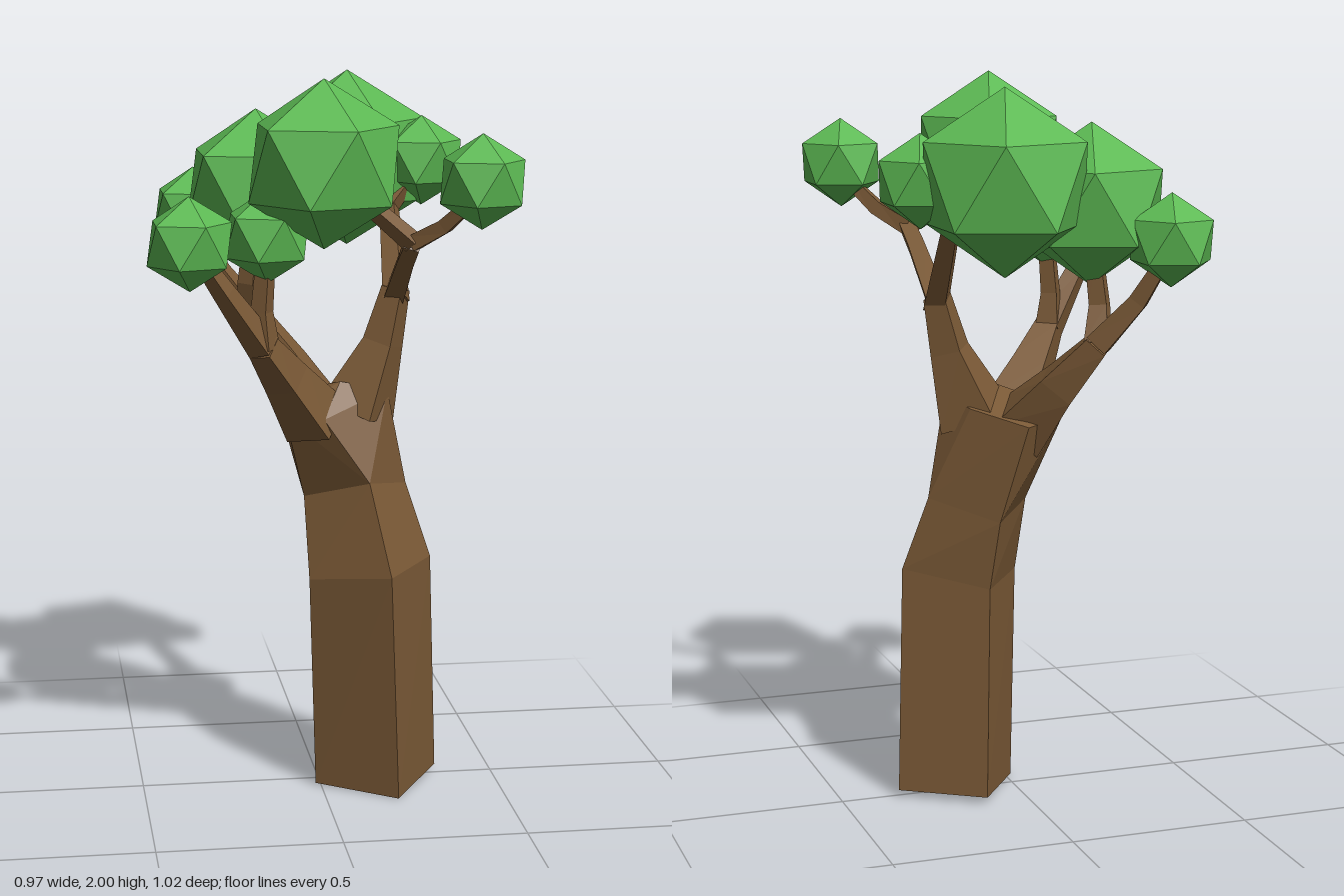
import * as THREE from 'three';
import { ConvexGeometry } from 'three/addons/geometries/ConvexGeometry.js';

const V = (p) => new THREE.Vector3(...p);

// Flat-shaded four-sided skin over a list of rings (corners counterclockwise seen from the tip)
function loft(rings) {
  const pos = [];
  const tri = (a, b, c) => [a, b, c].forEach((p) => pos.push(p.x, p.y, p.z));
  for (let r = 0; r < rings.length - 1; r++) {
    for (let i = 0; i < 4; i++) {
      const j = (i + 1) % 4, a = rings[r], b = rings[r + 1];
      tri(a[i], a[j], b[j]);
      tri(a[i], b[j], b[i]);
    }
  }
  const s = rings[0], e = rings[rings.length - 1];
  tri(s[0], s[2], s[1]);
  tri(s[0], s[3], s[2]);
  tri(e[0], e[1], e[2]);
  tri(e[0], e[2], e[3]);
  const g = new THREE.BufferGeometry();
  g.setAttribute('position', new THREE.Float32BufferAttribute(pos, 3));
  g.computeVertexNormals();
  return g;
}

// Square tube through nodes [x, y, z, side]
function limb(nodes) {
  const c = nodes.map((n) => V(n.slice(0, 3)));
  const dir = (i) => c[i + 1].clone().sub(c[i]).normalize();
  return loft(nodes.map((n, i) => {
    const t = new THREE.Vector3();
    if (i > 0) t.add(dir(i - 1));
    if (i < c.length - 1) t.add(dir(i));
    t.normalize();
    const a = new THREE.Vector3(0.83, 0, 0.55);
    a.addScaledVector(t, -a.dot(t)).normalize();
    const b = t.clone().cross(a);
    const h = n[3] / 2;
    return [[1, 1], [-1, 1], [-1, -1], [1, -1]].map(([p, q]) =>
      c[i].clone().addScaledVector(a, p * h).addScaledVector(b, q * h));
  }));
}

export function createModel() {
  const bark = new THREE.MeshStandardMaterial({ color: 0x7a5936 });
  bark.name = 'bark brown';
  const leaf = new THREE.MeshStandardMaterial({ color: 0x5cb953 });
  leaf.name = 'leaf green';

  const tree = new THREE.Group();
  tree.name = 'tree';
  const add = (name, geometry, material) => {
    const m = new THREE.Mesh(geometry, material);
    m.name = name;
    tree.add(m);
    return m;
  };

  // Trunk: front, right, back and left corner of each ring
  const rings = [
    [[0.2, 0, 0.198], [0.34, 0.02, -0.015], [0.125, 0.02, -0.155], [-0.015, 0.005, 0.056]],
    [[0.172, 0.645, 0.225], [0.315, 0.65, 0.018], [0.108, 0.61, -0.13], [-0.035, 0.61, 0.077]],
    [[0.125, 0.89, 0.13], [0.25, 0.855, -0.02], [0.085, 0.8, -0.15], [-0.04, 0.83, 0]],
  ].map((r) => r.map(V));
  add('trunk', loft(rings), bark);

  // Crotch where the trunk divides into three
  const crown = [
    [-0.1, 1.07, 0.06], [0, 1.07, 0.12], [0.055, 1.16, 0.04], [0.19, 1.13, 0.02],
    [0.15, 1.11, -0.09], [0.02, 1.07, -0.2], [-0.1, 1.08, -0.13], [-0.03, 1.13, -0.03],
  ].map(V);
  add('crotch', new ConvexGeometry([...rings[2], ...crown]), bark);

  // Limbs and the twigs that carry the foliage
  const rightFork = [0.215, 1.41, 0, 0.06];
  const frontFork = [0.215, 1.57, 0.27, 0.042];
  const backFork = [0.22, 1.62, -0.15, 0.042];
  const leftFork = [-0.17, 1.28, 0.17, 0.065];
  const rearFork = [-0.15, 1.3, -0.27, 0.065];
  const limbs = {
    rightLimb: [[0.11, 1.07, -0.01, 0.16], [0.18, 1.26, 0, 0.085], rightFork],
    rightFrontArm: [[0.215, 1.39, -0.01, 0.055], [0.213, 1.52, 0.19, 0.045], frontFork],
    frontRightTwig: [frontFork, [0.29, 1.62, 0.32, 0.038], [0.36, 1.7, 0.38, 0.03]],
    frontTopTwig: [frontFork, [0.1, 1.67, 0.265, 0.036], [0.03, 1.73, 0.26, 0.03]],
    rightBackArm: [[0.215, 1.38, 0.01, 0.058], backFork],
    backRightTwig: [backFork, [0.3, 1.71, -0.19, 0.032]],
    backTopTwig: [backFork, [0.14, 1.71, -0.28, 0.036]],
    leftLimb: [[-0.01, 1.05, 0.04, 0.14], [-0.1, 1.18, 0.11, 0.095], leftFork],
    leftOuterTwig: [leftFork, [-0.28, 1.44, 0.23, 0.045], [-0.36, 1.56, 0.26, 0.032]],
    leftInnerTwig: [leftFork, [-0.175, 1.38, 0.172, 0.045], [-0.163, 1.54, 0.177, 0.038]],
    rearLimb: [[0, 1.05, -0.08, 0.15], [-0.07, 1.18, -0.19, 0.1], rearFork],
    rearOuterTwig: [rearFork, [-0.24, 1.42, -0.33, 0.048], [-0.3, 1.55, -0.385, 0.034]],
    rearInnerTwig: [rearFork, [-0.165, 1.4, -0.24, 0.048], [-0.148, 1.58, -0.225, 0.04]],
  };
  for (const [name, nodes] of Object.entries(limbs)) add(name, limb(nodes), bark);

  // Foliage: icosahedra standing on one corner
  const ball = new THREE.IcosahedronGeometry(1, 0);
  ball.rotateZ(-Math.atan(2 / (1 + Math.sqrt(5))));
  const foliage = [
    [0.123, 1.74, -0.302, 0.247], [-0.145, 1.67, -0.225, 0.217], [-0.02, 1.778, 0.257, 0.222],
    [0.371, 1.743, 0.403, 0.124], [0.318, 1.741, -0.192, 0.125], [-0.374, 1.576, 0.262, 0.125],
    [-0.161, 1.582, 0.178, 0.125], [-0.308, 1.586, -0.39, 0.125],
  ];
  foliage.forEach(([x, y, z, r], i) => {
    const m = add('foliage' + (i + 1), ball, leaf);
    m.position.set(x, y, z);
    m.scale.setScalar(r);
  });
  return tree;
}
